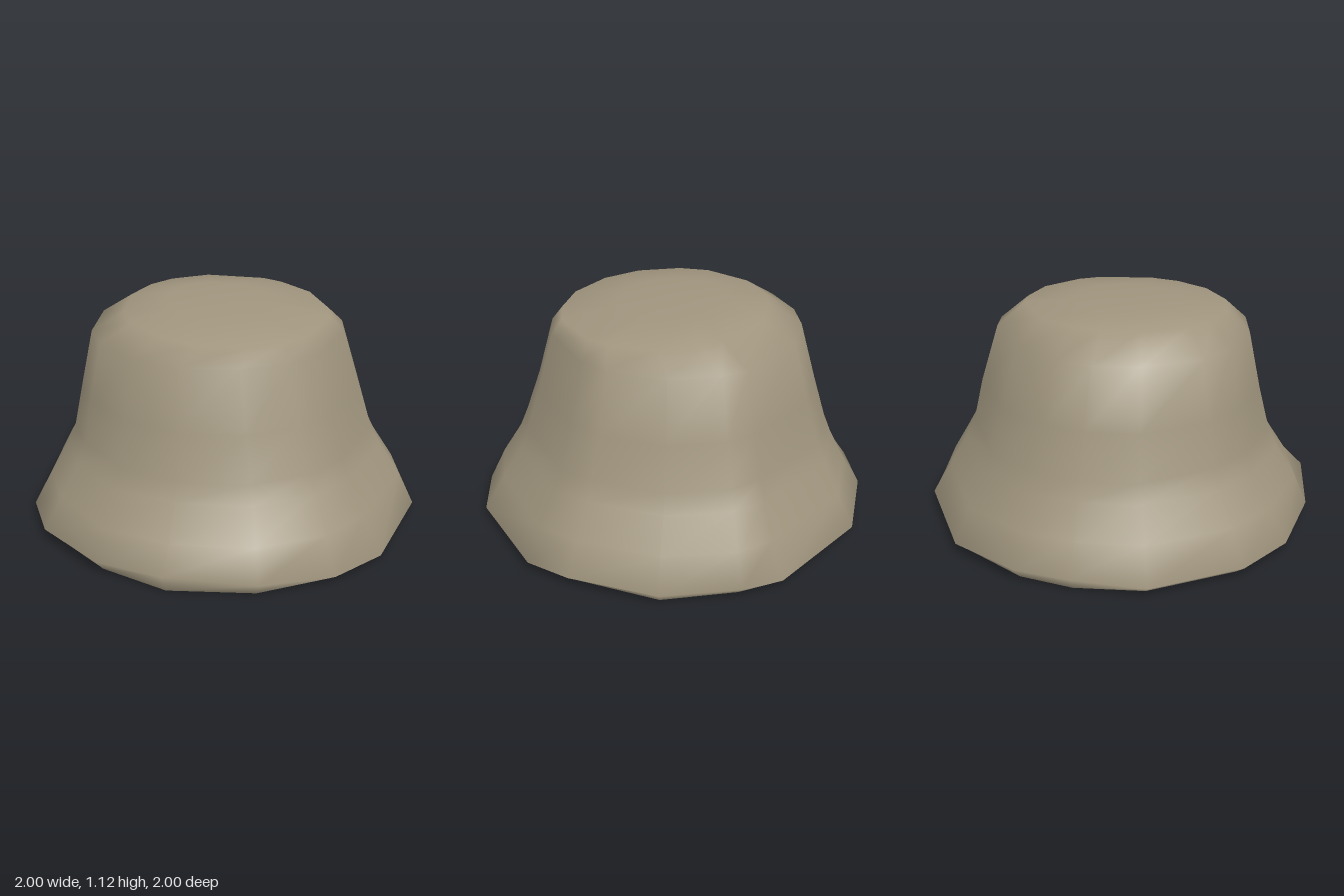
import * as THREE from 'three';

// Uneven brim outline seen from above: x, z, height of the edge
const rim = [
  [-0.02, -1, 0.07], [0.38, -0.93, 0.05], [0.83, -0.56, 0.05], [0.92, -0.37, 0.06],
  [1, 0.02, 0.07], [0.86, 0.46, 0.05], [0.75, 0.67, 0.05], [0.28, 0.97, 0.04],
  [-0.02, 1, 0.04], [-0.4, 0.92, 0.08], [-0.76, 0.66, 0.11], [-0.93, 0.32, 0.07],
  [-1, -0.1, 0.06], [-0.92, -0.4, 0.05], [-0.62, -0.79, 0.05], [-0.3, -0.95, 0.08],
];
const N = rim.length;

// Oval ring that follows the brim's corner directions; tilt lowers the front
function ring(y, cx, cz, rx, rz, tilt = 0, wave = 0) {
  return rim.map(([x, z], i) => {
    const l = Math.hypot(x, z);
    const s = 1 + wave * Math.sin(i * 2.4);
    return [cx + (x / l) * rx * s, y - (tilt * z) / l, cz + (z / l) * rz * s];
  });
}

// Skin between stacked rings, with an optional closing point on top
function loft(rings, tip) {
  const pos = rings.flat(2);
  const index = [];
  for (let r = 0; r < rings.length - 1; r++) {
    for (let j = 0; j < N; j++) {
      const a = r * N + j, b = r * N + ((j + 1) % N);
      index.push(b, a, a + N, b, a + N, b + N);
    }
  }
  if (tip) {
    const t = pos.length / 3, o = (rings.length - 1) * N;
    pos.push(...tip);
    for (let j = 0; j < N; j++) index.push(t, o + ((j + 1) % N), o + j);
  }
  const g = new THREE.BufferGeometry();
  g.setAttribute('position', new THREE.Float32BufferAttribute(pos, 3));
  g.setIndex(index);
  g.computeVertexNormals();
  return g;
}

export function createModel() {
  const group = new THREE.Group();
  group.name = 'bucketHat';
  const felt = new THREE.MeshStandardMaterial({ color: 0xa0957e });
  felt.name = 'khakiFelt';

  const hem = rim.map(([x, z]) => [x * 0.945, 0.005, z * 0.945]);
  const edge = rim.map(([x, z, y]) => [x, y, z]);

  // Brim, band and crown as one soft skin
  const hat = new THREE.Mesh(loft([
    hem,
    edge,
    ring(0.22, 0, 0, 0.91, 0.91, 0, 0.01),
    ring(0.38, 0, -0.01, 0.81, 0.82, 0, 0.012),
    ring(0.48, -0.005, -0.01, 0.76, 0.78, 0, 0.008),
    ring(0.7, -0.01, -0.015, 0.71, 0.71),
    ring(0.99, -0.025, -0.015, 0.635, 0.63),
    ring(1.085, -0.01, 0.04, 0.51, 0.52, 0.02),
    ring(1.115, -0.03, 0.0, 0.27, 0.28, 0.01),
  ], [-0.05, 1.12, -0.02]), felt);
  hat.name = 'crownAndBrim';
  group.add(hat);

  // Flat closed underside
  const pos = [0, 0.005, 0, ...hem.flat()];
  const index = [];
  for (let j = 0; j < N; j++) index.push(0, 1 + j, 1 + ((j + 1) % N));
  const g = new THREE.BufferGeometry();
  g.setAttribute('position', new THREE.Float32BufferAttribute(pos, 3));
  g.setIndex(index);
  g.computeVertexNormals();
  const base = new THREE.Mesh(g, felt);
  base.name = 'underside';
  group.add(base);

  return group;
}
